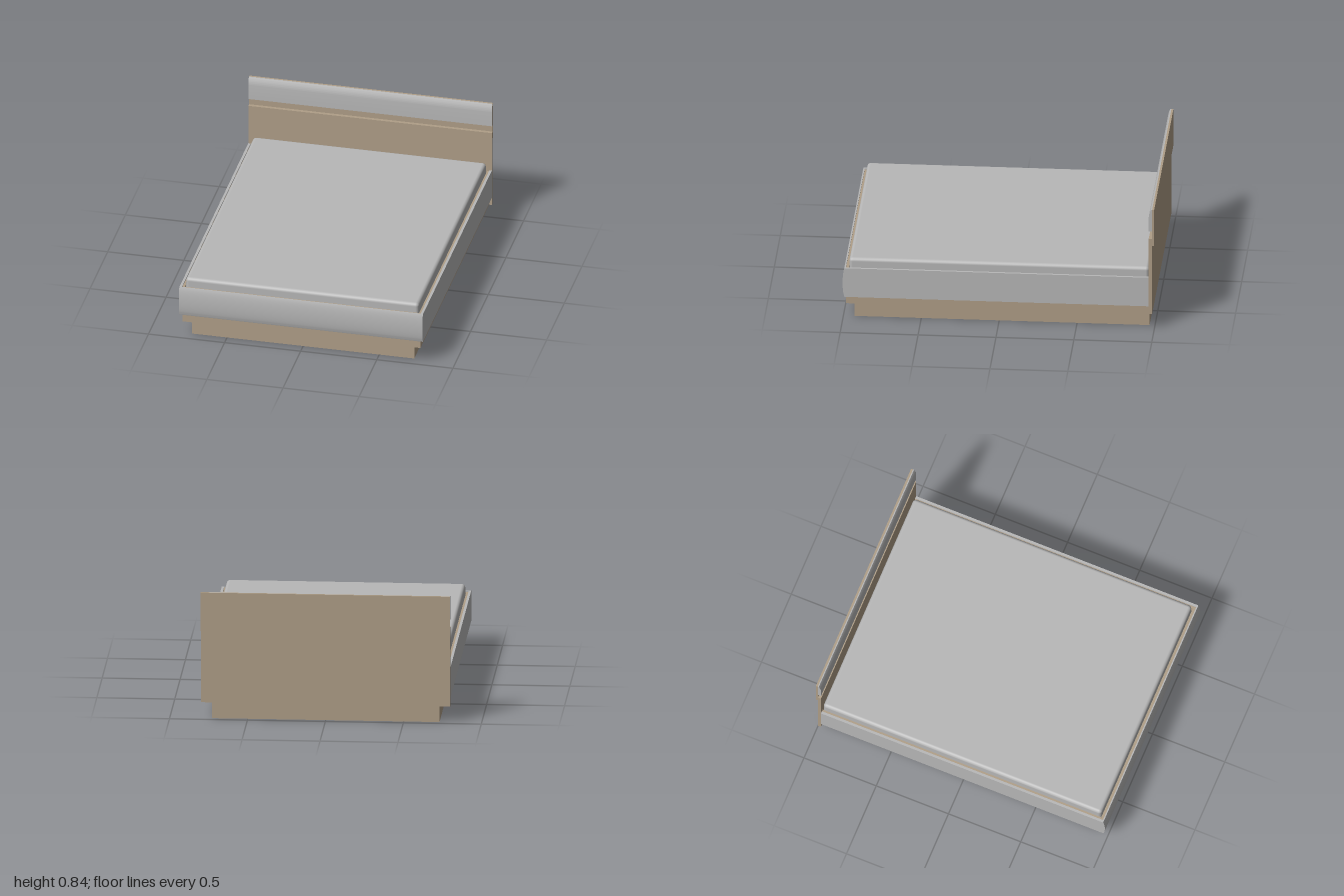
import * as THREE from 'three';
import { toCreasedNormals } from 'three/addons/utils/BufferGeometryUtils.js';
import { RoundedBoxGeometry } from 'three/addons/geometries/RoundedBoxGeometry.js';

const wood = new THREE.MeshStandardMaterial({ name: 'light wood', color: 0xb09f88 });
const grey = new THREE.MeshStandardMaterial({ name: 'grey fabric', color: 0xb8b8b8 });

export function createModel() {
  const bed = new THREE.Group();
  bed.name = 'bed';

  const add = (name, geometry, material) => {
    const mesh = new THREE.Mesh(geometry, material);
    mesh.name = name;
    bed.add(mesh);
    return mesh;
  };

  // Box given by its lower and upper limits on each axis
  const box = (name, material, [x0, x1], [y0, y1], [z0, z1]) =>
    add(name, new THREE.BoxGeometry(x1 - x0, y1 - y0, z1 - z0), material)
      .position.set((x0 + x1) / 2, (y0 + y1) / 2, (z0 + z1) / 2);

  // Side profile (z, y) swept across the full width of the bed
  const sweep = (name, material, shape, width) => {
    const geometry = new THREE.ExtrudeGeometry(shape, { depth: width, bevelEnabled: false, curveSegments: 16 });
    geometry.rotateY(-Math.PI / 2).translate(width / 2, 0, 0);
    add(name, toCreasedNormals(geometry, 0.5), material);
  };

  // Recessed plinth and the slab the mattress lies on
  box('plinth', wood, [-0.73, 0.73], [0, 0.11], [-0.965, 0.93]);
  box('baseSlab', wood, [-0.782, 0.782], [0.11, 0.162], [-0.965, 0.98]);

  // Wooden inner frame with padded panels outside it
  for (const [side, s] of [['left', 1], ['right', -1]]) {
    const span = (a, b) => (s > 0 ? [a, b] : [-b, -a]);
    box(side + 'InnerRail', wood, span(0.769, 0.784), [0.162, 0.355], [-0.965, 0.98]);
    box(side + 'SidePanel', grey, span(0.784, 0.8), [0.162, 0.362], [-0.965, 0.982]);
  }
  box('footInnerRail', wood, [-0.769, 0.769], [0.162, 0.355], [0.962, 0.98]);

  // Bulging foot panel
  const foot = new THREE.Shape();
  foot.moveTo(0.98, 0.162);
  foot.lineTo(0.988, 0.162);
  foot.bezierCurveTo(1.004, 0.2, 1.004, 0.32, 0.988, 0.362);
  foot.lineTo(0.98, 0.362);
  sweep('footPanel', grey, foot, 1.6);

  // Mattress with soft edges, narrowing slightly towards the top
  const mattress = new RoundedBoxGeometry(1.538, 0.255, 1.925, 5, 0.022);
  const p = mattress.attributes.position;
  for (let i = 0; i < p.count; i++) {
    const k = 1 - 0.006 * Math.max(0, p.getY(i) / 0.1275);
    p.setX(i, p.getX(i) * k);
  }
  add('mattress', mattress, grey).position.set(0, 0.29, -0.0025);

  // Headboard: lower board, overlapping upper backing and padded top
  box('headboardLower', wood, [-0.8, 0.8], [0.11, 0.635], [-0.987, -0.965]);
  box('headboardBacking', wood, [-0.8, 0.8], [0.585, 0.838], [-1, -0.987]);
  const pad = new THREE.Shape();
  pad.moveTo(-0.987, 0.685);
  pad.lineTo(-0.965, 0.685);
  pad.lineTo(-0.965, 0.785);
  pad.quadraticCurveTo(-0.966, 0.81, -0.98, 0.838);
  pad.lineTo(-0.987, 0.838);
  sweep('headboardPad', grey, pad, 1.6);

  return bed;
}
